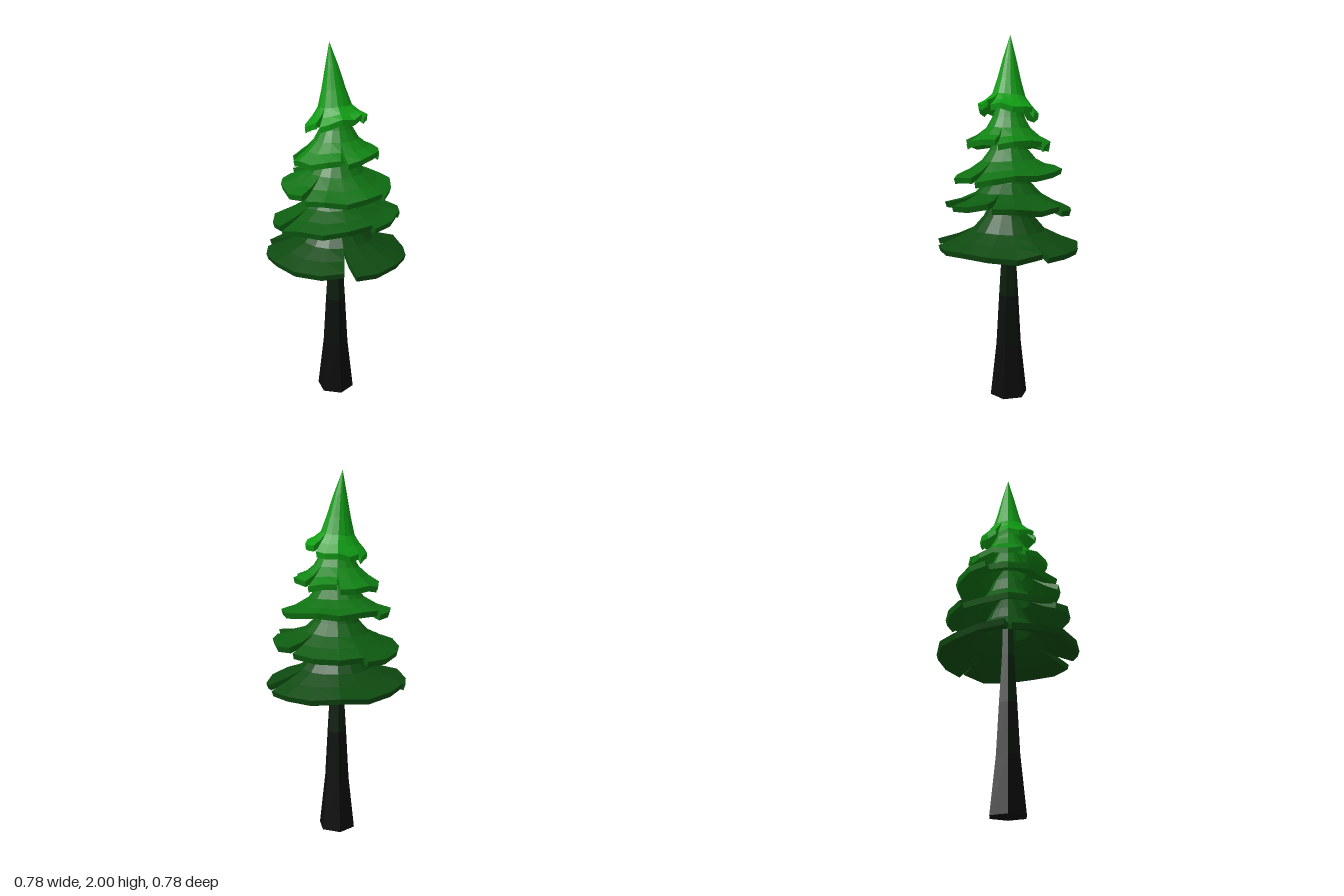
import * as THREE from 'three';

const SIDES = 16;
const STEP = (Math.PI * 2) / SIDES;

// Five skirts of foliage: profile [radius, y] from rim to top, tilt along x and z,
// and the rim corners (counted from +x towards +z) where the skirt is slit.
const TIERS = [
  { color: 0x0e4a10, tilt: [-0.005, 0.01], slits: [3, 8, 14], gaps: [0.17, 0.1, 0.09],
    profile: [[0.388, 0.875], [0.29, 0.912], [0.2, 0.955], [0.135, 1.03], [0.1, 1.1], [0.04, 1.2]] },
  { color: 0x0e5c11, tilt: [0.03, 0.01], slits: [0, 2, 6, 10, 13], gaps: [0.06, 0.07, 0.06, 0.07, 0.07],
    profile: [[0.347, 1.085], [0.26, 1.115], [0.18, 1.155], [0.125, 1.21], [0.09, 1.29], [0.04, 1.37]] },
  { color: 0x0f7012, tilt: [-0.01, -0.022], slits: [1, 5, 9], gaps: [0.08, 0.07, 0.07],
    profile: [[0.297, 1.265], [0.22, 1.293], [0.15, 1.335], [0.105, 1.39], [0.075, 1.46], [0.035, 1.54]] },
  { color: 0x108413, tilt: [0.02, 0], slits: [0, 3, 7, 11, 13], gaps: [0.07, 0.17, 0.08, 0.08, 0.08],
    profile: [[0.229, 1.425], [0.17, 1.46], [0.12, 1.505], [0.088, 1.56], [0.06, 1.63], [0.03, 1.7]] },
  { color: 0x109c14, tilt: [0.034, 0.015], slits: [1, 5, 9, 13], gaps: [0.13, 0.13, 0.1, 0.1],
    profile: [[0.165, 1.6], [0.125, 1.635], [0.09, 1.675], [0.064, 1.76], [0.036, 1.87], [0.0, 1.995]] },
];

// A folded, hollow skirt: each span between two slits is a closed shell.
function skirtGeometry({ profile, tilt, slits, gaps }, index) {
  const pos = [];
  const rows = profile.length;
  const R = profile[0][0];
  const closeR = profile[2][0]; // slits end here
  const isTip = index === TIERS.length - 1;
  const tri = (a, b, c) => pos.push(...a, ...b, ...c);
  const quad = (a, b, c, d) => { tri(a, b, c); tri(a, c, d); };

  // side is -1 or 1 at the two lips of a slit, 0 elsewhere
  const point = (row, under, j, side, gap) => {
    const [r0, y0] = profile[row];
    const open = Math.max(0, (r0 - closeR) / (R - closeR));
    const f = r0 / R;
    const r = under ? r0 * 0.975 : r0;
    const a = j * STEP + side * open * gap * 0.5;
    const c = Math.cos(a), s = Math.sin(a);
    const wave = 0.008 * Math.sin((j % SIDES) * 2.4 + index * 1.7) * f * f;
    const lip = side * 0.012 * open;
    const y = y0 + wave + lip + (tilt[0] * c + tilt[1] * s) * f * f - (under ? 0.03 : 0);
    const lean = isTip ? -0.035 * (1 - f) ** 2 : 0;
    return [r * c + lean, y, r * s];
  };

  slits.forEach((start, k) => {
    const next = (k + 1) % slits.length;
    const end = slits[next] + (next === 0 ? SIDES : 0);
    const columns = [];
    for (let j = start; j <= end; j++) {
      const side = j === start ? 1 : j === end ? -1 : 0;
      const gap = j === start ? gaps[k] : gaps[next];
      const under = [], top = [];
      for (let row = 0; row < rows; row++) {
        under.unshift(point(row, true, j, side, gap));
        top.push(point(row, false, j, side, gap));
      }
      columns.push([...under, ...top]);
    }
    // underside, rim and upper side in one sweep
    for (let i = 0; i < columns.length - 1; i++) {
      const A = columns[i], B = columns[i + 1];
      for (let p = 0; p < A.length - 1; p++) quad(A[p], A[p + 1], B[p + 1], B[p]);
    }
    // walls inside the slits
    const S = columns[0], E = columns[columns.length - 1];
    for (let row = 0; row < 2; row++) {
      const t = rows + row, u = rows - 1 - row;
      quad(S[t], S[u], S[u - 1], S[t + 1]);
      quad(E[t], E[t + 1], E[u - 1], E[u]);
    }
  });

  const geometry = new THREE.BufferGeometry();
  geometry.setAttribute('position', new THREE.Float32BufferAttribute(pos, 3));
  geometry.computeVertexNormals();
  return geometry;
}

export function createModel() {
  const group = new THREE.Group();
  const add = (name, geometry, color) => {
    const material = new THREE.MeshStandardMaterial({ color, flatShading: true });
    const mesh = new THREE.Mesh(geometry, material);
    mesh.name = name;
    group.add(mesh);
    return mesh;
  };

  // six-sided trunk, flared at the foot and greener towards the crown
  const trunk = [
    [0, 0.105, 0x0b0b0b], [0.3, 0.071, 0x0b100b], [0.58, 0.055, 0x0b1d0c], [0.85, 0.038, 0x0b2a0d], [1.15, 0.03, 0],
  ];
  for (let i = 0; i < trunk.length - 1; i++) {
    const [y0, r0, color] = trunk[i];
    const [y1, r1] = trunk[i + 1];
    const inner = i > 0;
    const part = new THREE.CylinderGeometry(r1, r0, y1 - y0, 6, 1, inner);
    part.rotateY(Math.PI / 6);
    part.translate(-0.003, (y0 + y1) / 2, 0);
    add('trunkSection' + (i + 1), part, color);
  }

  // foliage
  TIERS.forEach((tier, i) => add('foliageTier' + (i + 1), skirtGeometry(tier, i), tier.color));

  return group;
}
